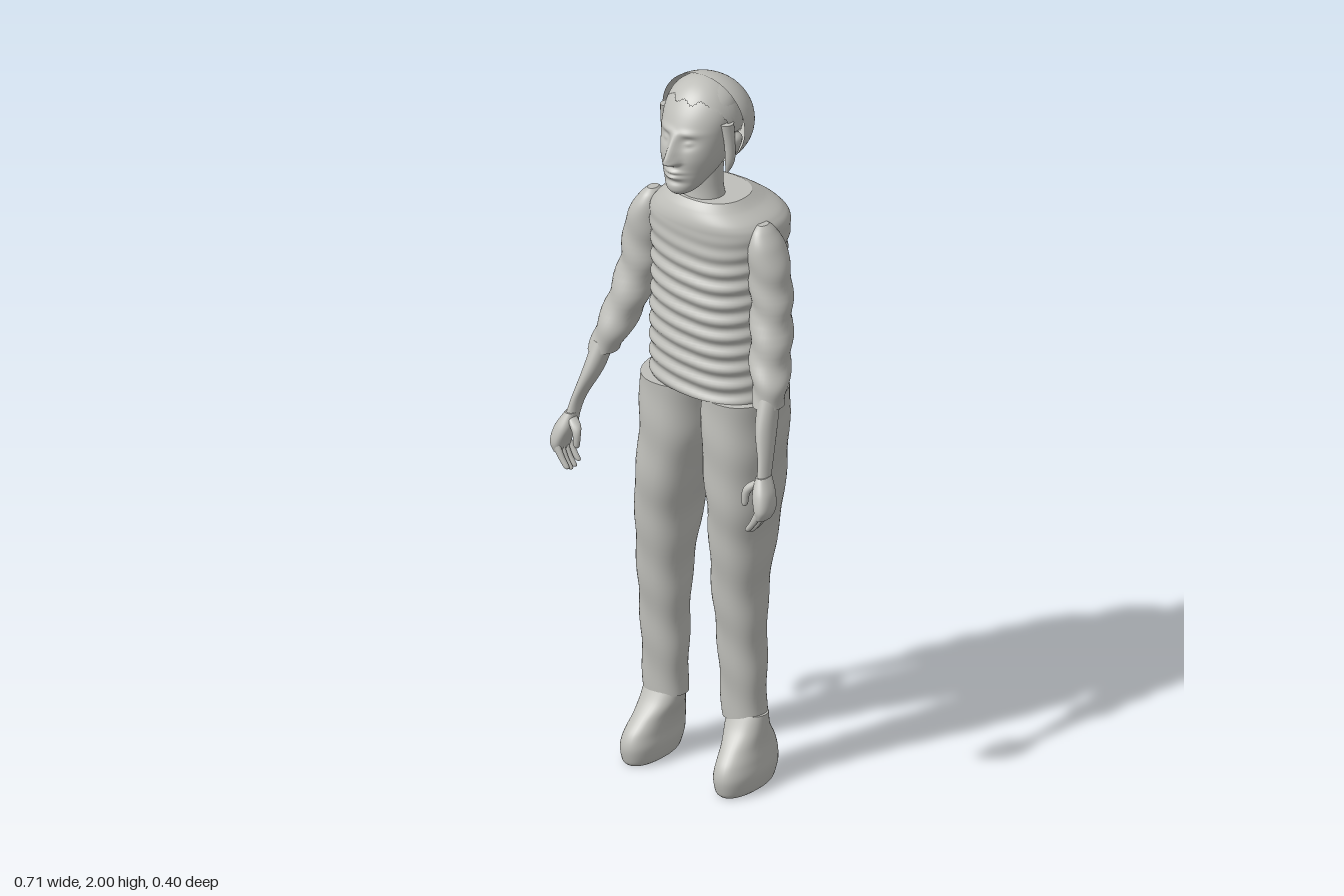
import * as THREE from 'three';

const grey = new THREE.MeshStandardMaterial({ color: 0xbfbfba, side: THREE.DoubleSide });
grey.name = 'plain grey';

const clamp = (v) => Math.min(1, Math.max(0, v));
const bump = (d, w) => Math.exp(-(d * d) / (w * w));

// Smooth interpolation through a list of sections
function sectionAt(list, t) {
  const n = list.length - 1;
  const i = Math.min(n - 1, Math.floor(t * n));
  const f = t * n - i;
  const at = (k) => list[Math.min(n, Math.max(0, k))];
  const [a, b, c, d] = [at(i - 1), at(i), at(i + 1), at(i + 2)];
  return b.map((v, k) => {
    const m0 = (c[k] - a[k]) / 2, m1 = (d[k] - v) / 2;
    const f2 = f * f, f3 = f2 * f;
    return v * (2 * f3 - 3 * f2 + 1) + c[k] * (3 * f2 - 2 * f3) + m0 * (f3 - 2 * f2 + f) + m1 * (f3 - f2);
  });
}

// Skin over horizontal sections [y, xMin, xMax, zMin, zMax], listed bottom to top
function loft(name, sections, { rings = 28, sides = 36, square = 1, rule = null } = {}) {
  const pos = [], index = [];
  const p = new THREE.Vector3();
  for (let i = 0; i <= rings; i++) {
    const [y, x0, x1, z0, z1] = sectionAt(sections, i / rings);
    for (let j = 0; j < sides; j++) {
      const a = (j / sides) * Math.PI * 2, c = Math.cos(a), s = Math.sin(a);
      p.set(
        (x0 + x1) / 2 + ((x1 - x0) / 2) * Math.sign(c) * Math.abs(c) ** square, y,
        (z0 + z1) / 2 + ((z1 - z0) / 2) * Math.sign(s) * Math.abs(s) ** square);
      if (rule) rule(p, c, s);
      pos.push(p.x, p.y, p.z);
      if (i < rings) {
        const k = i * sides + j, l = i * sides + ((j + 1) % sides);
        index.push(k, k + sides, l, l, k + sides, l + sides);
      }
    }
  }
  // End caps on their own vertices, so the rims stay sharp
  for (const ring of [0, rings]) {
    const base = pos.length / 3;
    const mid = [0, 0, 0];
    for (let j = 0; j < sides; j++) {
      for (let k = 0; k < 3; k++) {
        const v = pos[(ring * sides + j) * 3 + k];
        pos.push(v);
        mid[k] += v / sides;
      }
    }
    pos.push(...mid);
    for (let j = 0; j < sides; j++) {
      const a = base + j, b = base + ((j + 1) % sides);
      index.push(base + sides, ring ? b : a, ring ? a : b);
    }
  }
  const g = new THREE.BufferGeometry();
  g.setAttribute('position', new THREE.Float32BufferAttribute(pos, 3));
  g.setIndex(index);
  g.computeVertexNormals();
  const mesh = new THREE.Mesh(g, grey);
  mesh.name = name;
  return mesh;
}

// Right part as listed, left part mirrored and moved by shift(y)
function pair(parent, name, sections, options = {}, shift = () => 0) {
  const left = sections.map(([y, x0, x1, z0, z1]) => [y, shift(y) - x1, shift(y) - x0, z0, z1]);
  parent.add(loft('right' + name, sections, options), loft('left' + name, left, options));
}

function addHead(head) {
  const cx = 0.014;
  // Face relief: nose, brow, eyes, lips, cheeks and chin
  const face = (p, c, s) => {
    if (s <= 0) return;
    const dx = p.x - cx, ax = Math.abs(dx);
    const ridge = clamp((1.885 - p.y) / 0.07) * clamp((p.y - 1.787) / 0.014);
    let dz = 0.034 * ridge * bump(dx, 0.010 + 0.008 * ridge);
    dz += 0.007 * bump(ax - 0.015, 0.008) * bump(p.y - 1.803, 0.009);
    dz -= 0.014 * bump(ax - 0.036, 0.02) * bump(p.y - 1.855, 0.014);
    dz += 0.010 * bump(ax - 0.037, 0.013) * bump(p.y - 1.854, 0.008);
    dz += 0.005 * bump(ax - 0.035, 0.03) * bump(p.y - 1.88, 0.009);
    dz += 0.010 * bump(dx, 0.026) * (bump(p.y - 1.773, 0.006) + bump(p.y - 1.758, 0.006));
    dz -= 0.006 * bump(dx, 0.03) * bump(p.y - 1.742, 0.007);
    dz += 0.004 * bump(ax - 0.05, 0.025) * bump(p.y - 1.81, 0.03);
    p.z += dz * clamp(s * 2);
  };
  head.add(loft('face', [
    [1.703, cx - 0.018, cx + 0.018, 0.095, 0.13],
    [1.72, cx - 0.043, cx + 0.043, 0.045, 0.145],
    [1.765, cx - 0.07, cx + 0.07, -0.025, 0.144],
    [1.81, cx - 0.086, cx + 0.086, -0.06, 0.142],
    [1.865, cx - 0.095, cx + 0.095, -0.08, 0.135],
    [1.915, cx - 0.097, cx + 0.097, -0.08, 0.115],
    [1.955, cx - 0.085, cx + 0.085, -0.07, 0.088],
    [1.982, cx - 0.055, cx + 0.055, -0.045, 0.06],
    [1.994, cx - 0.015, cx + 0.015, -0.01, 0.025],
  ], { rings: 110, sides: 120, rule: face }));

  head.add(loft('neck', [
    [1.63, -0.055, 0.08, -0.05, 0.07],
    [1.68, -0.048, 0.072, -0.036, 0.064],
    [1.72, -0.046, 0.07, -0.035, 0.065],
    [1.79, -0.045, 0.07, -0.04, 0.07],
  ]));

  // Back of the hair: an open half shell
  const back = new THREE.Mesh(new THREE.SphereGeometry(1, 40, 32, Math.PI, Math.PI), grey);
  back.geometry.rotateY(Math.PI);
  back.geometry.scale(-1, 1, -1);
  // Keep the half behind the ears
  const q = back.geometry.attributes.position;
  for (let i = 0; i < q.count; i++) q.setZ(i, -Math.abs(q.getZ(i)));
  const order = back.geometry.index.array;
  const [a, b, c] = [0, 1, 2].map((k) => new THREE.Vector3().fromBufferAttribute(q, order[600 + k]));
  const outward = b.clone().sub(a).cross(c.clone().sub(a)).dot(a) > 0;
  if (!outward) for (let i = 0; i < order.length; i += 3) [order[i], order[i + 1]] = [order[i + 1], order[i]];
  back.geometry.scale(0.134, 0.122, 0.13);
  back.geometry.translate(0.016, 1.878, 0.015);
  back.geometry.computeVertexNormals();
  back.name = 'backHair';
  head.add(back);

  // Front of the hair: a thin cap with an uneven hairline and longer sides
  const cap = new THREE.SphereGeometry(1, 64, 20);
  const v = cap.attributes.position, uv = cap.attributes.uv;
  for (let i = 0; i < v.count; i++) {
    const angle = uv.getX(i) * Math.PI * 2, front = Math.sin(angle);
    const edge = front > 0 ? 1.75 - 0.85 * clamp(front * 1.5) + 0.06 * Math.sin(angle * 11) : 1.75;
    const t = (1 - uv.getY(i)) * edge;
    v.setXYZ(i, 0.015 - 0.106 * Math.cos(angle) * Math.sin(t), 1.88 + 0.118 * Math.cos(t),
      0.012 + (front > 0 ? 0.112 : 0.09) * front * Math.sin(t));
  }
  cap.computeVertexNormals();
  const frontHair = new THREE.Mesh(cap, grey);
  frontHair.name = 'frontHair';
  head.add(frontHair);

  // Ears and loose locks in front of them
  pair(head, 'Ear', [
    [1.80, -0.09, -0.075, 0.01, 0.025], [1.815, -0.1, -0.07, 0.0, 0.035],
    [1.85, -0.107, -0.07, -0.01, 0.04], [1.868, -0.09, -0.075, 0.005, 0.025],
  ], { rings: 14, sides: 16 }, () => 0.028);
  pair(head, 'Lock', [
    [1.755, -0.082, -0.074, 0.03, 0.036], [1.79, -0.1, -0.075, 0.02, 0.045],
    [1.84, -0.104, -0.075, 0.02, 0.05], [1.9, -0.1, -0.07, 0.02, 0.06],
  ], { rings: 14, sides: 16 }, () => 0.028);
}

function addArms(arms) {
  const shift = (y) => 0.03 * clamp((y - 1.0) / 0.4);
  // Soft cloth folds
  const folds = (p, c, s) => {
    const f = 0.004 * Math.sin(p.y * 62 + 2 * c + s) * clamp((1.58 - p.y) * 6);
    p.x += f * c;
    p.z += f * s;
  };
  pair(arms, 'Sleeve', [
    [1.15, -0.302, -0.225, 0.03, 0.113], [1.2, -0.297, -0.203, 0.01, 0.106],
    [1.27, -0.281, -0.175, -0.025, 0.088], [1.4, -0.255, -0.143, -0.05, 0.056],
    [1.5, -0.243, -0.13, -0.058, 0.052], [1.56, -0.222, -0.13, -0.06, 0.05],
    [1.6, -0.195, -0.138, -0.042, 0.033], [1.618, -0.177, -0.152, -0.024, 0.012],
  ], { rings: 50, rule: folds }, shift);
  pair(arms, 'Forearm', [
    [0.97, -0.328, -0.296, 0.122, 0.168], [1.02, -0.319, -0.289, 0.1, 0.155],
    [1.1, -0.302, -0.254, 0.062, 0.135], [1.18, -0.29, -0.235, 0.04, 0.105],
  ], {}, shift);
  pair(arms, 'Palm', [
    [0.878, -0.343, -0.317, 0.138, 0.194], [0.905, -0.354, -0.311, 0.13, 0.2],
    [0.945, -0.348, -0.298, 0.124, 0.19], [0.985, -0.327, -0.296, 0.118, 0.168],
  ], { square: 0.8 });
  for (let i = 0; i < 4; i++) {
    const z = 0.142 + i * 0.016, drop = [0.012, 0.002, 0, 0.007][i];
    pair(arms, 'Finger' + (i + 1), [
      [0.832 + drop, -0.299, -0.291, z - 0.003, z + 0.003],
      [0.838 + drop, -0.306, -0.288, z - 0.007, z + 0.007],
      [0.862 + drop, -0.325, -0.303, z - 0.008, z + 0.008],
      [0.9, -0.345, -0.318, z - 0.008, z + 0.008],
    ], { rings: 14, sides: 12 });
  }
  pair(arms, 'Thumb', [
    [0.9, -0.277, -0.27, 0.172, 0.178], [0.908, -0.283, -0.266, 0.167, 0.183],
    [0.938, -0.288, -0.265, 0.162, 0.183], [0.958, -0.304, -0.272, 0.15, 0.178],
    [0.975, -0.32, -0.296, 0.14, 0.168],
  ], { rings: 16, sides: 14 });
}

function addLegs(legs) {
  const shift = (y) => 0.042 * clamp((y - 0.6) / 0.35);
  const creases = (p, c, s) => {
    const f = 0.002 * Math.sin(p.y * 38 + 2 * c + 1.5 * s);
    p.x += f * c;
    p.z += f * s;
  };
  pair(legs, 'Trouser', [
    [0.18, -0.19, -0.068, -0.06, 0.035], [0.3, -0.19, -0.064, -0.062, 0.044],
    [0.42, -0.191, -0.06, -0.066, 0.055], [0.55, -0.193, -0.052, -0.076, 0.07],
    [0.7, -0.194, -0.036, -0.105, 0.086], [0.8, -0.191, -0.02, -0.125, 0.097],
    [0.92, -0.181, 0.01, -0.143, 0.101], [1.02, -0.18, 0.02, -0.15, 0.1],
    [1.115, -0.18, 0.021, -0.153, 0.098],
  ], { rings: 60, sides: 40, square: 0.88, rule: creases }, shift);
  // Feet with a flat sole, rounded toe and a slope up to the ankle
  pair(legs, 'Foot', [
    [0, -0.188, -0.107, -0.058, 0.117], [0.012, -0.198, -0.096, -0.075, 0.126],
    [0.05, -0.203, -0.09, -0.091, 0.132], [0.085, -0.197, -0.092, -0.094, 0.12],
    [0.12, -0.19, -0.088, -0.086, 0.09], [0.16, -0.188, -0.076, -0.064, 0.054],
    [0.2, -0.186, -0.072, -0.055, 0.03],
  ], { rings: 40, sides: 40, square: 0.9 }, () => 0.011);
}

export function createModel() {
  const model = new THREE.Group();
  model.name = 'figure';
  const part = (name, build) => {
    const g = new THREE.Group();
    g.name = name;
    build(g);
    model.add(g);
  };
  part('head', addHead);
  part('arms', addArms);
  part('legs', addLegs);

  // Knitted top with horizontal ripples that fade towards the shoulders
  const ripples = (p, c, s) => {
    const wave = Math.sin(p.y * 135 + 1.2 * Math.sin(3 * c) + 0.8 * s);
    const f = 0.0055 * wave * clamp((1.6 - p.y) * 8) * (0.35 + 0.65 * Math.abs(s));
    p.x += f * c;
    p.z += f * s;
  };
  model.add(loft('torso', [
    [1.115, -0.161, 0.21, -0.168, 0.1], [1.2, -0.16, 0.206, -0.17, 0.103],
    [1.3, -0.157, 0.203, -0.175, 0.107], [1.4, -0.153, 0.202, -0.181, 0.108],
    [1.5, -0.158, 0.205, -0.189, 0.106], [1.58, -0.168, 0.212, -0.199, 0.104],
    [1.615, -0.15, 0.195, -0.182, 0.102], [1.645, -0.117, 0.15, -0.145, 0.09],
    [1.667, -0.086, 0.125, -0.106, 0.074],
  ], { rings: 130, sides: 64, square: 0.88, rule: ripples }));
  return model;
}
